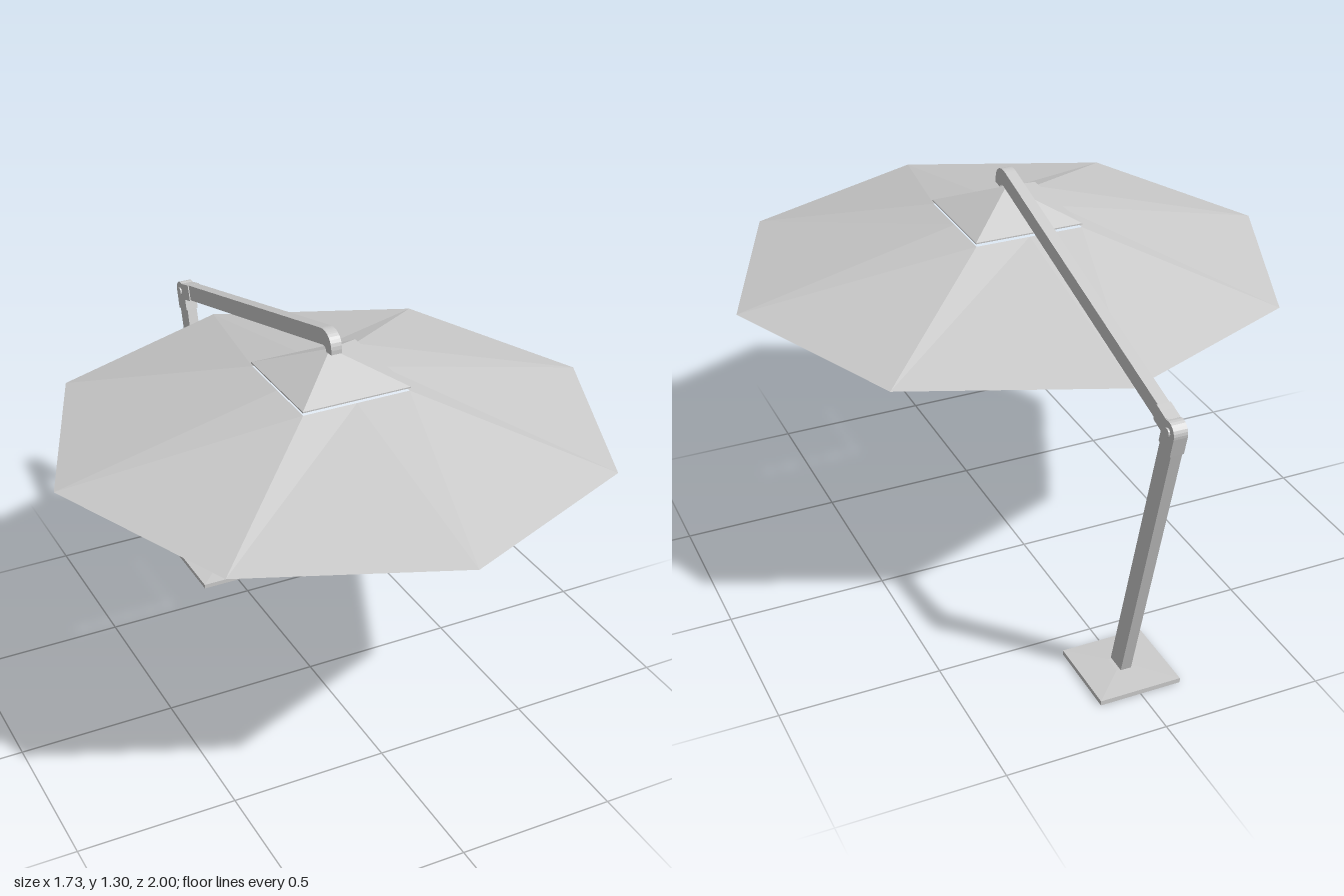
import * as THREE from 'three';

const CZ = 0.13; // canopy centre along z
const grey = new THREE.MeshStandardMaterial({ color: 0xcccccc, flatShading: true });
const sheet = new THREE.MeshStandardMaterial({ color: 0xcccccc, flatShading: true, side: THREE.DoubleSide });

// Extrudes a side profile drawn in (z, y) symmetrically across x
function sideExtrude(shape, width) {
  const g = new THREE.ExtrudeGeometry(shape, { depth: width, bevelEnabled: false, curveSegments: 6 });
  g.translate(0, 0, -width / 2);
  g.rotateY(-Math.PI / 2);
  return g;
}

// Straight limb from a to b in (z, y) with a rounded start
function limbShape(a, b, r) {
  const ang = Math.atan2(b[1] - a[1], b[0] - a[0]);
  const nx = -Math.sin(ang) * r, ny = Math.cos(ang) * r;
  const s = new THREE.Shape();
  s.moveTo(b[0] - nx, b[1] - ny);
  s.lineTo(b[0] + nx, b[1] + ny);
  s.absarc(a[0], a[1], r, ang + Math.PI / 2, ang + Math.PI * 1.5, false);
  s.closePath();
  return s;
}

// Surface lofted between closed rings of equal length
function loft(rings) {
  const n = rings[0].length, index = [];
  for (let j = 0; j < rings.length - 1; j++) {
    for (let i = 0; i < n; i++) {
      const k = (i + 1) % n, a = j * n, b = a + n;
      index.push(a + i, a + k, b + k, a + i, b + k, b + i);
    }
  }
  const g = new THREE.BufferGeometry();
  g.setAttribute('position', new THREE.Float32BufferAttribute(rings.flat(2), 3));
  g.setIndex(index);
  g.computeVertexNormals();
  return g;
}

// Eight points around the canopy centre; square rings put four of them on edge midpoints
function ring(r, y, square) {
  return Array.from({ length: 8 }, (_, i) => {
    const t = i * Math.PI / 4;
    const d = square && i % 2 ? r * Math.SQRT2 : r;
    return [Math.sin(t) * d, y, CZ + Math.cos(t) * d];
  });
}

export function createModel() {
  const group = new THREE.Group();
  const add = (name, geometry, material = grey) => {
    const m = new THREE.Mesh(geometry, material);
    m.name = name;
    group.add(m);
    return m;
  };

  // Octagonal canopy with a square vent, and the pyramid cap floating over it
  add('canopy', loft([ring(0.865, 0.978), ring(0.172, 1.138, true)]), sheet);
  add('ventCap', loft([ring(0.174, 1.147, true), ring(0.174, 1.151, true), ring(0.0005, 1.235, true)]), sheet);

  // Base plate with a slightly peaked top
  const plate = new THREE.BoxGeometry(0.26, 0.015, 0.26);
  plate.translate(0, 0.0075, -0.71);
  add('basePlate', plate);
  const peak = new THREE.CylinderGeometry(0.04, 0.13 * Math.SQRT2, 0.007, 4, 1);
  peak.rotateY(Math.PI / 4);
  peak.translate(0, 0.0185, -0.71);
  add('basePlateTop', peak);

  // Leaning post
  const elbow = [-0.967, 0.972];
  add('post', sideExtrude(limbShape(elbow, [-0.708, 0.015], 0.032), 0.034));

  // Cantilever arm with a hooked tip
  const arm = new THREE.Shape();
  arm.moveTo(-0.96, 0.95);
  arm.lineTo(0.12, 1.246);
  arm.quadraticCurveTo(0.137, 1.248, 0.14, 1.232);
  arm.lineTo(0.172, 1.235);
  arm.quadraticCurveTo(0.175, 1.276, 0.145, 1.29);
  arm.quadraticCurveTo(0.125, 1.299, 0.10, 1.293);
  arm.lineTo(-0.975, 0.999);
  arm.closePath();
  add('arm', sideExtrude(arm, 0.035));

  // Elbow bracket: one short sleeve along each limb, joined by a pin
  add('elbowPostSleeve', sideExtrude(limbShape(elbow, [-0.951, 0.912], 0.033), 0.042));
  add('elbowArmSleeve', sideExtrude(limbShape(elbow, [-0.893, 0.994], 0.027), 0.042));
  const pin = new THREE.CylinderGeometry(0.013, 0.013, 0.052, 12);
  pin.rotateZ(Math.PI / 2);
  pin.translate(0, elbow[1], elbow[0]);
  add('elbowPin', pin);

  return group;
}
